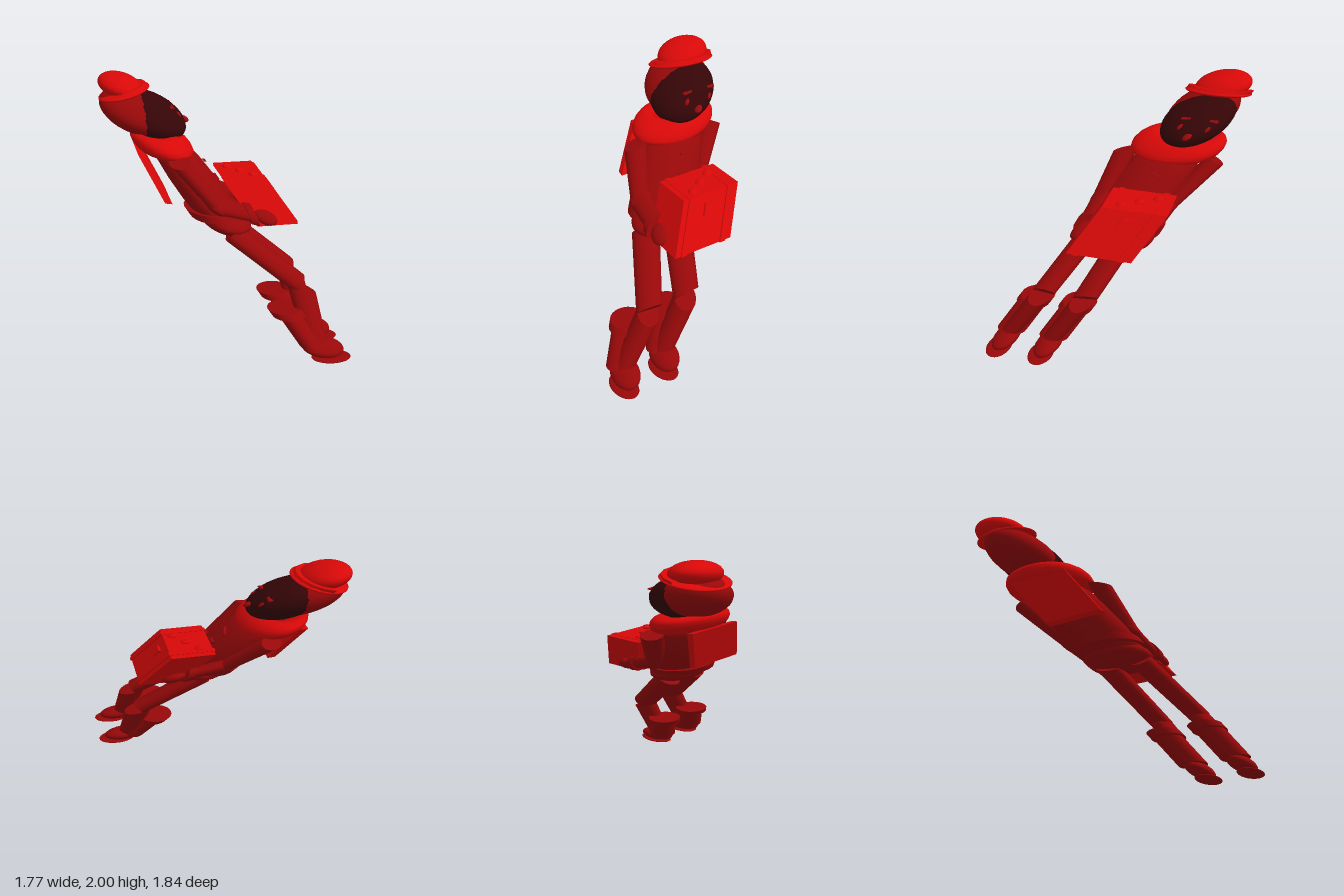
import * as THREE from 'three';

export function createModel() {
  const model = new THREE.Group();
  const mat = (name, color) => {
    const m = new THREE.MeshStandardMaterial({ color });
    m.name = name;
    return m;
  };
  const bright = mat('bright red', 0xd80808);
  const cloth = mat('deep red', 0x980809);
  const skin = mat('dark maroon', 0x350507);

  // Figure is built upright facing +x, then slanted backwards and sideways
  const slant = new THREE.Matrix4().set(
    1, -0.68, 0, 0.62,
    0, 1, 0, 0,
    0, -0.695, 1, 0.65,
    0, 0, 0, 1);

  const bake = (name, geo, material, matrix) => {
    geo.applyMatrix4(matrix).applyMatrix4(slant);
    const mesh = new THREE.Mesh(geo, material);
    mesh.name = name;
    model.add(mesh);
  };
  const add = (name, geo, material, pos, scale = [1, 1, 1], rot = [0, 0, 0]) => {
    const q = new THREE.Quaternion().setFromEuler(new THREE.Euler(...rot));
    bake(name, geo, material, new THREE.Matrix4().compose(
      new THREE.Vector3(...pos), q, new THREE.Vector3(...scale)));
  };
  const ball = (name, material, pos, radii, rot) =>
    add(name, new THREE.SphereGeometry(1, 28, 18), material, pos, radii, rot);
  const disc = (name, material, pos, radii, rot) =>
    add(name, new THREE.CylinderGeometry(1, 1, 1, 24), material, pos, radii, rot);
  const box = (name, material, pos, size, rot) =>
    add(name, new THREE.BoxGeometry(1, 1, 1), material, pos, size, rot);
  const limb = (name, material, a, b, ra, rb) => {
    const from = new THREE.Vector3(...a), to = new THREE.Vector3(...b);
    const dir = to.clone().sub(from);
    const q = new THREE.Quaternion().setFromUnitVectors(
      new THREE.Vector3(0, 1, 0), dir.clone().normalize());
    bake(name, new THREE.CylinderGeometry(rb, ra, dir.length(), 16), material,
      new THREE.Matrix4().compose(from.add(to).multiplyScalar(0.5), q, new THREE.Vector3(1, 1, 1)));
  };

  // Legs and boots
  for (const s of [1, -1]) {
    limb('thigh', cloth, [0.04, 0.87, 0.145 * s], [0.28, 0.5, 0.172 * s], 0.108, 0.098);
    limb('shin', cloth, [0.275, 0.48, 0.172 * s], [0.075, 0.11, 0.18 * s], 0.094, 0.082);
    disc('bootShaft', cloth, [0.042, 0.22, 0.182 * s], [0.097, 0.22, 0.122]);
    disc('bootCuff', cloth, [0.035, 0.335, 0.18 * s], [0.135, 0.045, 0.14]);
    ball('boot', cloth, [0.11, 0.085, 0.18 * s], [0.16, 0.065, 0.1]);
    ball('sole', cloth, [0.122, 0.018, 0.18 * s], [0.155, 0.018, 0.1]);
  }

  // Torso, hips and belt
  const profile = [[0, 0.84], [0.6, 0.86], [0.9, 0.95], [1, 1.08], [1, 1.22], [0.92, 1.36], [0.75, 1.46], [0, 1.5]]
    .map(([r, y]) => new THREE.Vector2(r, y));
  add('torso', new THREE.LatheGeometry(profile, 28), cloth, [0.03, 0, 0], [0.19, 1, 0.29]);
  ball('hips', cloth, [0.06, 0.92, 0], [0.19, 0.1, 0.28]);
  disc('belt', cloth, [0.03, 0.99, 0], [0.225, 0.055, 0.3]);
  box('chestClasp', cloth, [0.222, 1.33, 0], [0.02, 0.015, 0.1], [-0.3, 0, 0]);
  box('chestClasp', cloth, [0.226, 1.21, 0], [0.02, 0.03, 0.08]);

  // Arms reaching forward to the crate
  for (const s of [1, -1]) {
    const elbow = [0.07, 1.09, 0.275 * s];
    const wrist = [0.3, 1.01, 0.262 * s];
    limb('upperArm', cloth, [0.025, 1.41, 0.37 * s], elbow, 0.088, 0.072);
    ball('elbow', cloth, elbow, [0.078, 0.078, 0.078]);
    limb('forearm', cloth, elbow, wrist, 0.074, 0.06);
    limb('sleeveCuff', cloth, [0.265, 1.02, 0.264 * s], [0.315, 1.003, 0.261 * s], 0.08, 0.08);
    ball('hand', cloth, [0.385, 0.98, 0.262 * s], [0.082, 0.055, 0.06]);
  }

  // Flat pack on the back
  box('backPack', bright, [-0.255, 1.278, 0], [0.052, 0.34, 0.5], [0, 0, -0.16]);

  // Scarf, dipping towards the chest
  add('scarf', new THREE.TorusGeometry(0.72, 0.28, 14, 32).rotateX(Math.PI / 2), bright,
    [-0.012, 1.48, 0], [0.225, 0.28, 0.372], [0, 0, -0.09]);

  // Head
  ball('hair', cloth, [-0.035, 1.705, 0], [0.28, 0.185, 0.262]);
  ball('face', skin, [0.045, 1.68, 0], [0.265, 0.19, 0.264]);
  ball('nose', cloth, [0.302, 1.635, 0], [0.03, 0.025, 0.032]);
  for (const s of [1, -1]) {
    ball('eye', cloth, [0.283, 1.69, 0.108 * s], [0.012, 0.02, 0.018]);
    box('eyebrow', cloth, [0.268, 1.745, 0.11 * s], [0.03, 0.01, 0.07], [0.12 * s, 0, 0]);
  }

  // Hat with a thin lens brim and a half-round peak
  const tilt = [0, 0, 0.19];
  ball('hatBrim', bright, [-0.03, 1.85, 0], [0.25, 0.028, 0.272], tilt);
  add('hatPeak', new THREE.CylinderGeometry(1, 1, 1, 8, 1, false, 0, Math.PI), bright,
    [-0.045, 1.862, 0], [0.25, 0.026, 0.265], tilt);
  ball('hatCrown', bright, [-0.025, 1.9, 0], [0.175, 0.1, 0.217], [0, 0, 0.08]);

  // Crate with straps, latch and three knobs
  box('crate', bright, [0.438, 1.08, -0.005], [0.335, 0.32, 0.515]);
  for (const s of [1, -1])
    box('crateStrap', bright, [0.439, 1.081, 0.18 * s], [0.355, 0.324, 0.05]);
  box('crateLatch', bright, [0.61, 1.15, 0], [0.025, 0.07, 0.09]);
  for (const i of [-1, 0, 1])
    ball('crateKnob', bright, [0.453 + 0.083 * i, 1.24, 0.128 * i - 0.005], [0.038, 0.02, 0.038]);

  return model;
}
